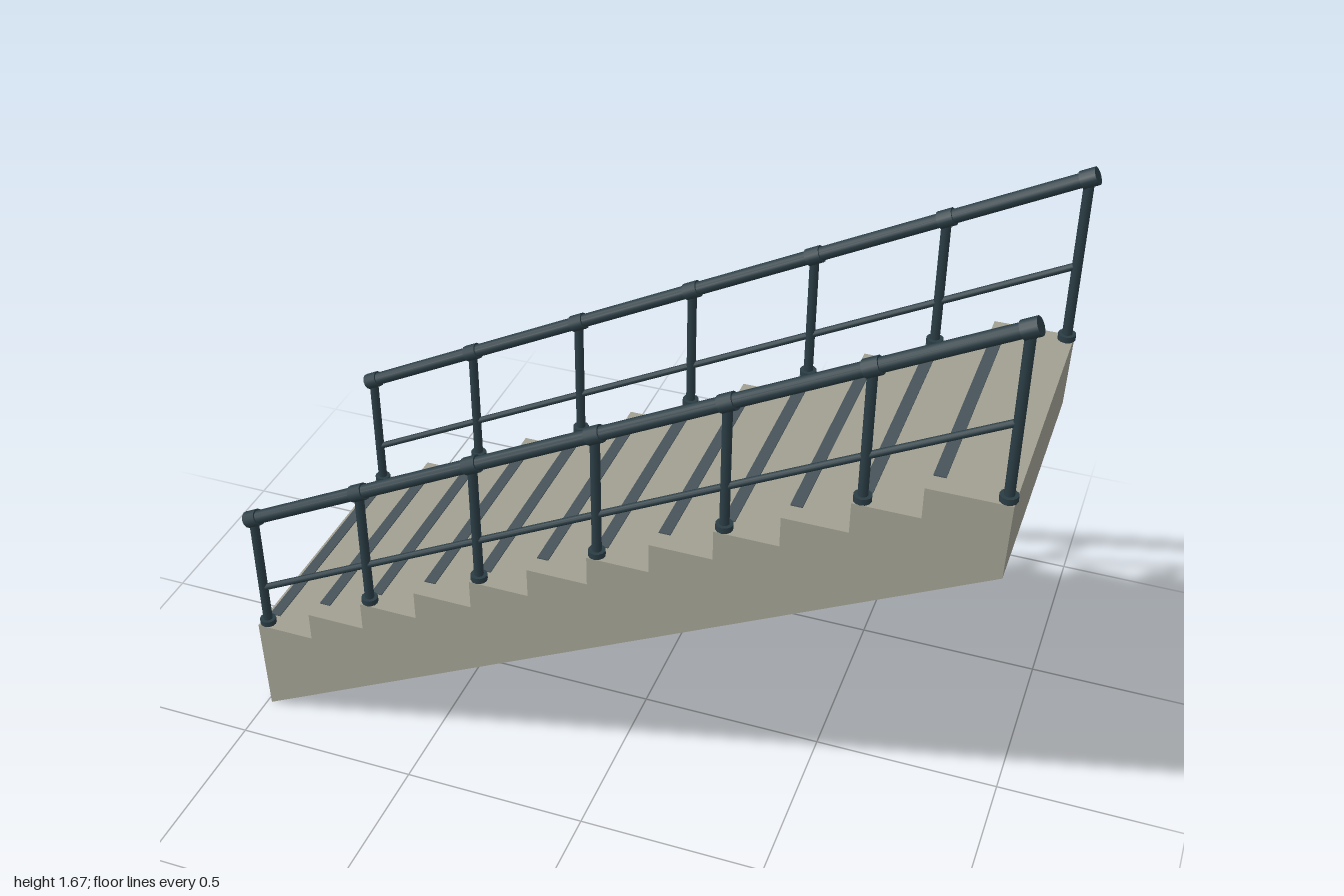
import * as THREE from 'three';

const concrete = new THREE.MeshStandardMaterial({ color: 0xa09f91 });
concrete.name = 'concrete';
const paintedSteel = new THREE.MeshStandardMaterial({ color: 0x2a3d44 });
paintedSteel.name = 'paintedSteel';
const gripStrip = new THREE.MeshStandardMaterial({ color: 0x48545a });
gripStrip.name = 'gripStrip';

const STEPS = 12, RUN = 0.162, RISE = 0.92 / 11;
const X0 = -0.993, X1 = 0.99, Y0 = 0.282, HALF_WIDTH = 0.373;
const treadX = (i) => -0.992 + i * RUN;
const treadY = (i) => Y0 + i * RISE;

function addMesh(parent, name, geometry, material, x = 0, y = 0, z = 0) {
  const mesh = new THREE.Mesh(geometry, material);
  mesh.name = name;
  mesh.position.set(x, y, z);
  parent.add(mesh);
  return mesh;
}

// Round bar between two points
function addBar(parent, name, a, b, radius) {
  const dir = b.clone().sub(a);
  const bar = addMesh(parent, name, new THREE.CylinderGeometry(radius, radius, dir.length(), 12), paintedSteel);
  bar.position.copy(a).add(b).multiplyScalar(0.5);
  bar.quaternion.setFromUnitVectors(new THREE.Vector3(0, 1, 0), dir.normalize());
  return bar;
}

// Stepped body with a sloping underside
function createFlight() {
  const shape = new THREE.Shape();
  shape.moveTo(-0.987, 0);
  shape.lineTo(0.985, 1);
  shape.lineTo(X1, treadY(STEPS - 1));
  for (let i = STEPS - 1; i > 0; i--) {
    shape.lineTo(treadX(i), treadY(i));
    shape.lineTo(treadX(i), treadY(i - 1));
  }
  shape.lineTo(X0, Y0);
  const geometry = new THREE.ExtrudeGeometry(shape, { depth: HALF_WIDTH * 2, bevelEnabled: false });
  return geometry.translate(0, 0, -HALF_WIDTH);
}

function createRailing(z) {
  const railing = new THREE.Group();
  railing.name = z > 0 ? 'frontRailing' : 'backRailing';
  const railY = (x) => 1.142 + x * 0.516;
  const point = (x, drop = 0) => new THREE.Vector3(x, railY(x) - drop, z);
  const along = point(1).sub(point(0)).normalize();

  addBar(railing, 'handrail', point(-0.973), point(0.973), 0.018);
  addBar(railing, 'midRail', point(-0.973, 0.235), point(0.973, 0.235), 0.009);

  for (let i = 0; i < 7; i++) {
    const x = -0.973 + i * (1.946 / 6);
    const step = Math.min(STEPS - 1, Math.floor((x + 0.992) / RUN));
    const base = treadY(step);
    addBar(railing, 'post', new THREE.Vector3(x, base, z), point(x), 0.0125);
    addMesh(railing, 'postFoot', new THREE.CylinderGeometry(0.022, 0.022, 0.016, 12), paintedSteel, x, base + 0.008, z);
    // Collar joining post and handrail
    const p = point(x);
    addBar(railing, 'collar', p.clone().addScaledVector(along, -0.02), p.clone().addScaledVector(along, 0.02), 0.0225);
  }
  return railing;
}

export function createModel() {
  const model = new THREE.Group();
  model.name = 'staircase';
  addMesh(model, 'flight', createFlight(), concrete);

  // Anti-slip strip behind each nosing
  const strip = new THREE.BoxGeometry(0.03, 0.004, 0.64);
  for (let i = 0; i < STEPS; i++) {
    addMesh(model, 'treadStrip', strip, gripStrip, treadX(i) + 0.022, treadY(i) + 0.001, 0);
  }

  for (const z of [0.352, -0.352]) model.add(createRailing(z));
  return model;
}
